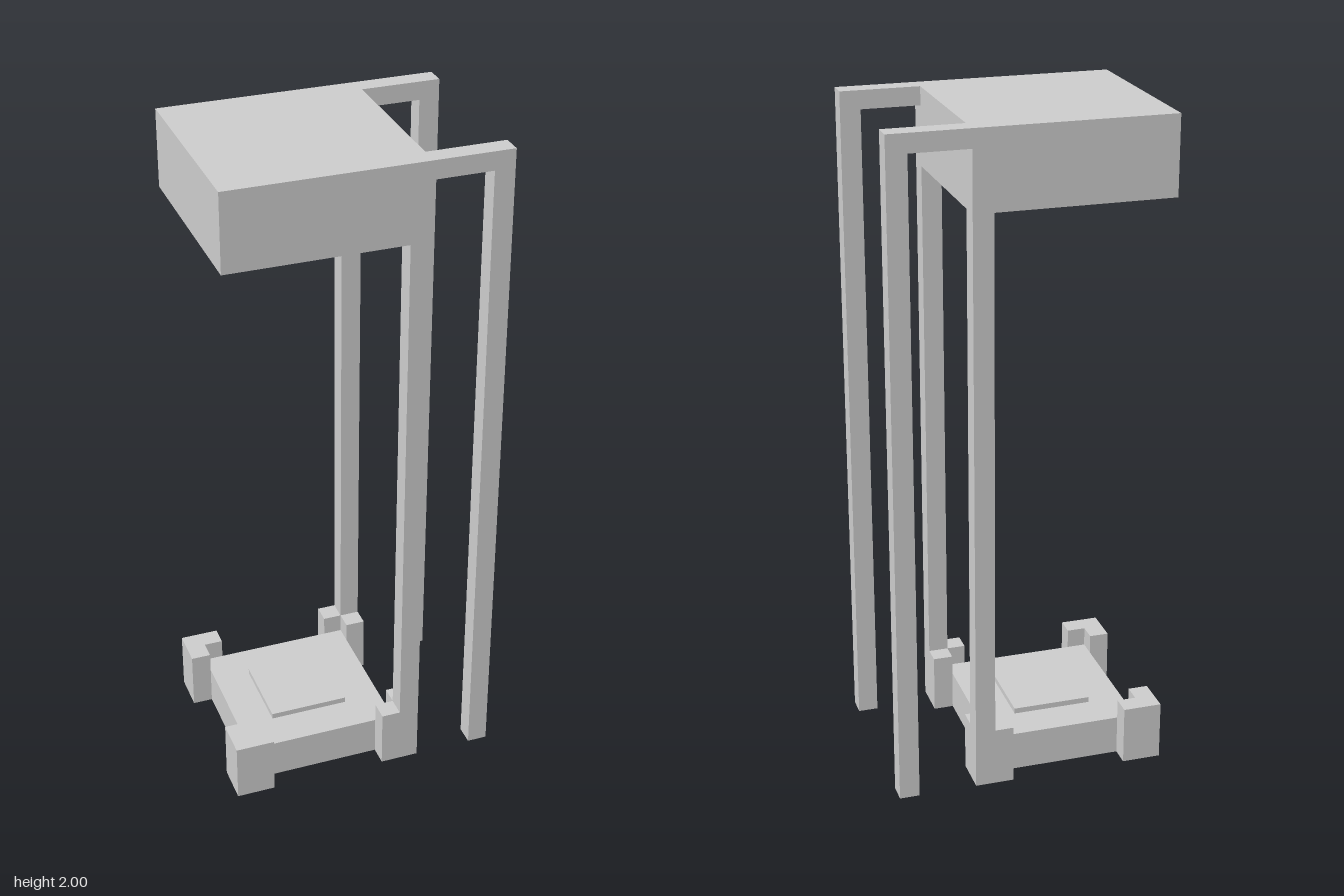
import * as THREE from 'three';

const material = new THREE.MeshStandardMaterial({ color: 0xcccccc, flatShading: true });

// Box given by its extents on each axis
function box(name, [x0, x1], [y0, y1], [z0, z1]) {
  const mesh = new THREE.Mesh(new THREE.BoxGeometry(x1 - x0, y1 - y0, z1 - z0), material);
  mesh.position.set((x0 + x1) / 2, (y0 + y1) / 2, (z0 + z1) / 2);
  mesh.name = name;
  return mesh;
}

// L-shaped corner bracket; its outer corner is at (x, z), arms run along sx and sz
function bracket(x, z, sx, sz) {
  const t = 0.06, len = 0.117;
  const shape = new THREE.Shape();
  const points = [[0, 0], [len, 0], [len, t], [t, t], [t, len], [0, len]]
    .map(([a, b]) => new THREE.Vector2(x + sx * a, -(z + sz * b)));
  shape.setFromPoints(points);
  const geometry = new THREE.ExtrudeGeometry(shape, { depth: 0.18, bevelEnabled: false });
  geometry.rotateX(-Math.PI / 2);
  const mesh = new THREE.Mesh(geometry, material);
  mesh.name = 'cornerBracket';
  return mesh;
}

export function createModel() {
  const model = new THREE.Group();
  model.name = 'tallFrame';
  const left = -0.41, right = 0.175, outer = 0.41, half = 0.295, t = 0.06;

  // Base slab with raised plate
  model.add(box('baseSlab', [left + t, right - t], [0, 0.12], [-half + t, half - t]));
  model.add(box('basePlate', [-0.24, 0], [0.12, 0.137], [-0.12, 0.12]));

  // Top block
  model.add(box('topBlock', [left, right], [1.767, 2], [-half, half]));

  for (const side of [-1, 1]) {
    // Brackets around the slab corners
    model.add(bracket(left, side * half, 1, -side));
    model.add(bracket(right, side * half, -1, -side));

    // Inner post, top arm and free-hanging outer leg
    const z = side > 0 ? [half - t, half] : [-half, -half + t];
    model.add(box('post', [right - t, right], [0.18, 1.767], z));
    model.add(box('topArm', [right, outer - t], [1.945, 2], z));
    model.add(box('outerLeg', [outer - t, outer], [0, 2], z));
  }
  return model;
}
